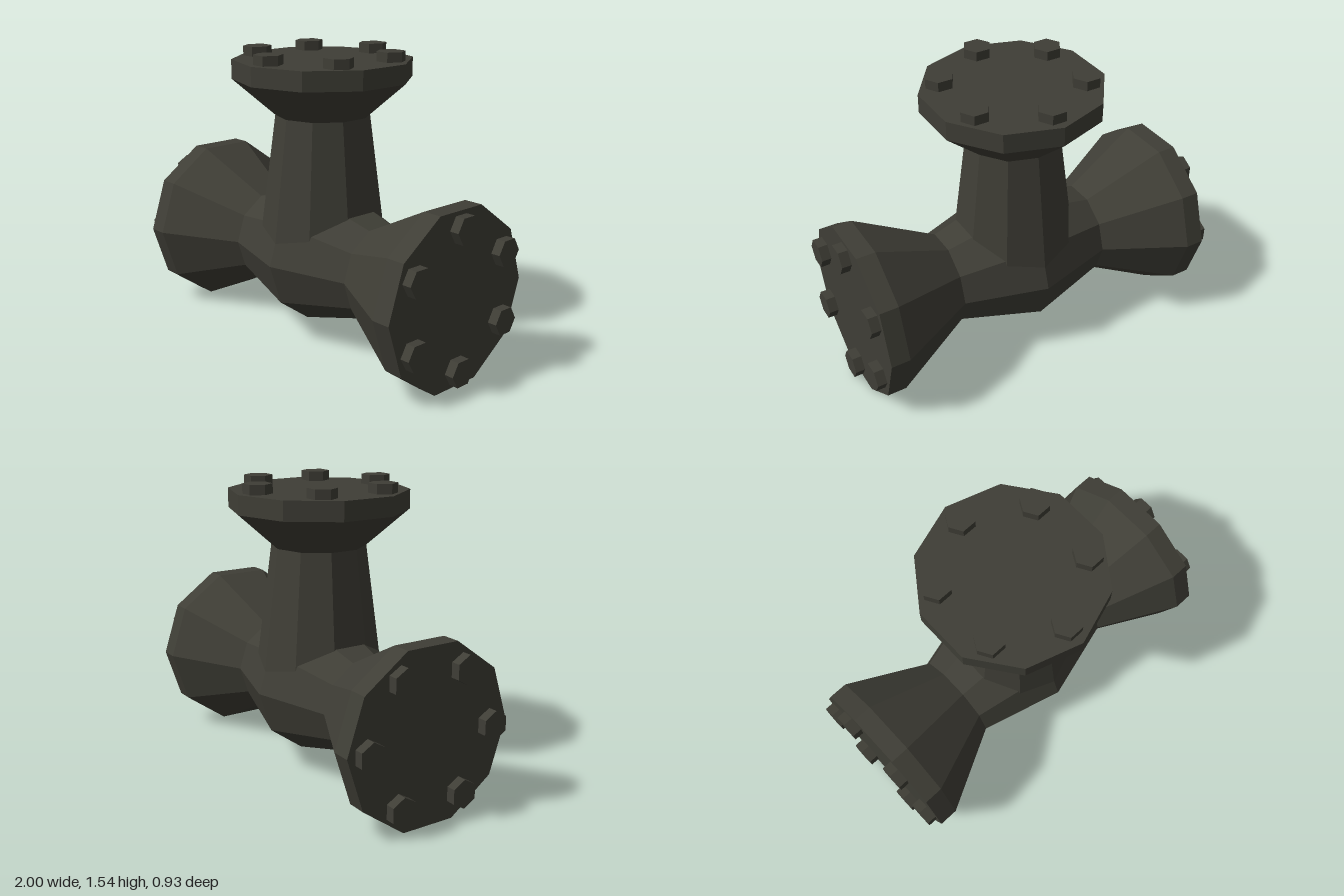
import * as THREE from 'three';

export function createModel() {
  const model = new THREE.Group();
  model.name = 'pipeTee';
  const iron = new THREE.MeshStandardMaterial({ color: 0x3f3e36, flatShading: true });
  iron.name = 'dark iron';
  const SIDES = 10, AXIS_Y = 0.445;

  // Ten-sided turned body from [radius, height] pairs, listed bottom to top
  const turned = (name, profile) => {
    const points = profile.map(([r, y]) => new THREE.Vector2(r, y));
    const mesh = new THREE.Mesh(new THREE.LatheGeometry(points, SIDES), iron);
    mesh.name = name;
    return mesh;
  };

  // Ring of six hex bolts around +y, sitting on a flange face
  const boltRing = (name, faceY, spin) => {
    const ring = new THREE.Group();
    ring.name = name;
    const hex = new THREE.CylinderGeometry(0.075, 0.075, 0.07, 6);
    hex.rotateY(Math.PI / 6);
    for (let i = 0; i < 6; i++) {
      const a = i * Math.PI / 3;
      const bolt = new THREE.Mesh(hex, iron);
      bolt.name = 'bolt';
      bolt.position.set(0.358 * Math.sin(a), faceY + 0.015, 0.358 * Math.cos(a));
      ring.add(bolt);
    }
    ring.rotation.y = spin;
    return ring;
  };

  // Horizontal run with a flange at each end and a swollen middle
  const run = new THREE.Group();
  run.name = 'horizontalRun';
  run.add(turned('runPipe', [
    [0, -0.95], [0.467, -0.95], [0.467, -0.85], [0.247, -0.43], [0.368, 0],
    [0.247, 0.43], [0.467, 0.85], [0.467, 0.95], [0, 0.95],
  ]));
  run.add(boltRing('leftBolts', 0.95, Math.PI / 2));
  const rightEnd = new THREE.Group();
  rightEnd.name = 'rightEnd';
  rightEnd.add(boltRing('rightBolts', 0.95, 0));
  rightEnd.rotation.z = Math.PI;
  run.add(rightEnd);
  run.rotation.z = -Math.PI / 2;
  run.position.y = AXIS_Y;
  model.add(run);

  // Upright branch, sunk into the run and flared to the top flange
  model.add(turned('branchPipe', [
    [0, 0.47], [0.342, 0.47], [0.247, 1.2], [0.467, 1.39], [0.467, 1.49], [0, 1.49],
  ]));
  model.add(boltRing('topBolts', 1.49, 0));

  return model;
}
